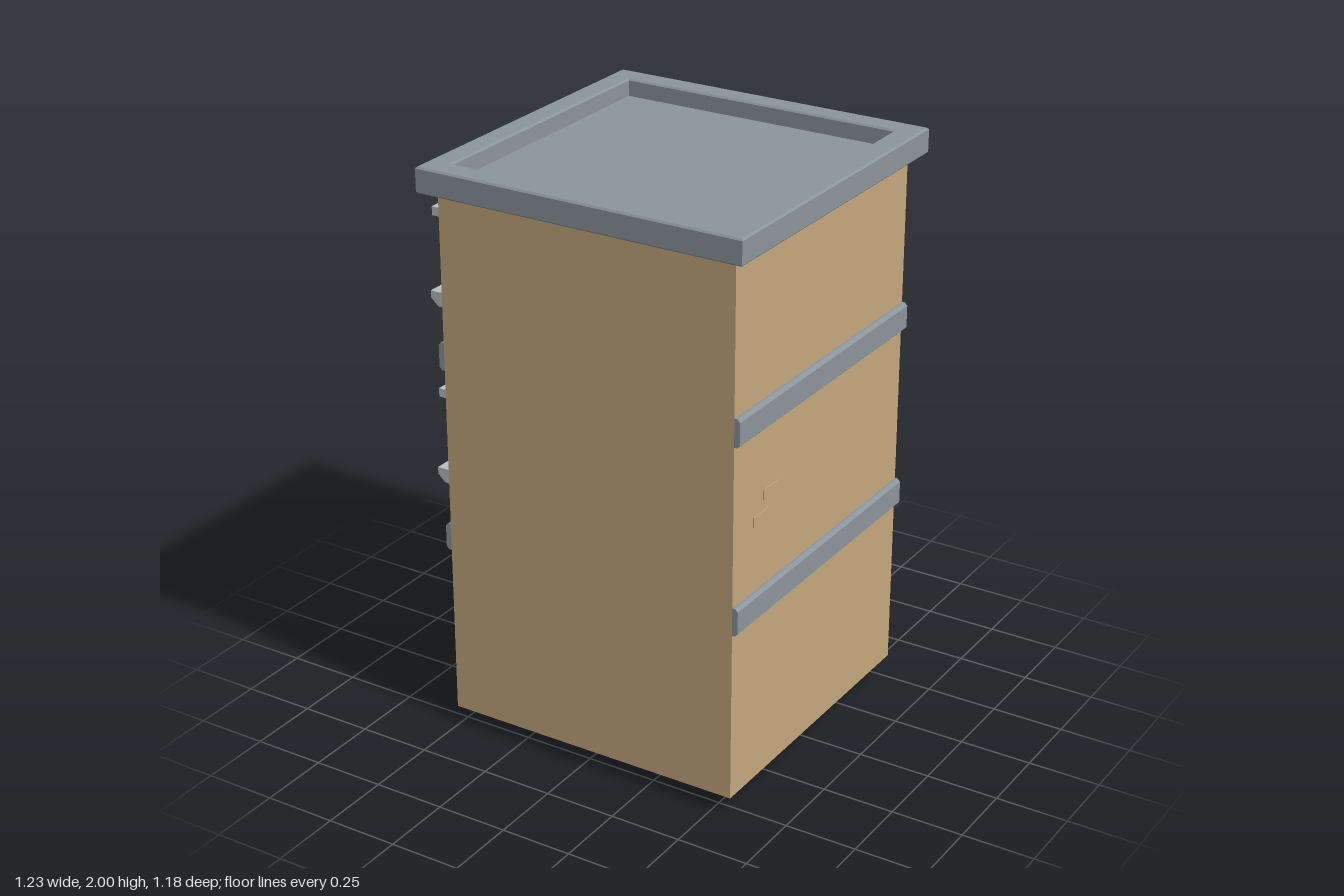
import * as THREE from 'three';

const mat = (name, color) => {
  const m = new THREE.MeshStandardMaterial({ color });
  m.name = name;
  return m;
};

export function createModel() {
  const model = new THREE.Group();
  model.name = 'cornerBuilding';
  const wall = mat('tan wall', 0xc4a77e);
  const slate = mat('slate trim', 0x8b959a);
  const stone = mat('pale stone', 0xb9bfc0);
  const dark = mat('dark glass', 0x4a453b);
  const brown = mat('dark brown', 0x6a6152);

  const WEST = -0.512, EAST = 0.565;

  const add = (parent, name, geometry, material) => {
    const mesh = new THREE.Mesh(geometry, material);
    mesh.name = name;
    parent.add(mesh);
    return mesh;
  };
  // Box given by its low and high limits on each axis
  const box = (parent, name, material, [x0, x1], [y0, y1], [z0, z1]) => {
    const m = add(parent, name, new THREE.BoxGeometry(x1 - x0, y1 - y0, z1 - z0), material);
    m.position.set((x0 + x1) / 2, (y0 + y1) / 2, (z0 + z1) / 2);
    return m;
  };
  // Profile in x and y, extruded along z
  const profile = (parent, name, material, points, z0, z1) => {
    const shape = new THREE.Shape(points.map(([x, y]) => new THREE.Vector2(x, y)));
    const m = add(parent, name, new THREE.ExtrudeGeometry(shape, { depth: z1 - z0, bevelEnabled: false }), material);
    m.position.z = z0;
    return m;
  };

  // Main block
  box(model, 'walls', wall, [WEST, EAST], [0.06, 1.93], [-0.54, 0.54]);

  // Roof: sunken deck inside a slightly bevelled parapet
  const rect = (C, x0, x1, z) => new C([[x0, -z], [x1, -z], [x1, z], [x0, z]].map(([a, b]) => new THREE.Vector2(a, b)));
  const b = 0.006;
  const ring = rect(THREE.Shape, -0.56 + b, 0.613 - b, 0.588 - b);
  ring.holes.push(rect(THREE.Path, -0.48 - b, 0.53 + b, 0.505 + b));
  const parapet = new THREE.ExtrudeGeometry(ring, {
    depth: 0.088 - 2 * b, bevelThickness: b, bevelSize: b, bevelSegments: 1,
  });
  parapet.rotateX(-Math.PI / 2).translate(0, 1.912 + b, 0);
  add(model, 'parapet', parapet, slate);
  box(model, 'roofDeck', slate, [-0.49, 0.54], [1.92, 1.94], [-0.515, 0.515]);

  // Chamfered floor bands on the two side walls
  for (const [y0, y1] of [[0.658, 0.755], [1.305, 1.402]]) {
    for (const [x, s, name] of [[EAST, 1, 'leftBand'], [WEST, -1, 'rightBand']]) {
      const out = x + s * 0.02;
      const points = [[x, y0], [x + s * 0.01, y0], [out, y0 + 0.01], [out, y1 - 0.01], [x + s * 0.01, y1], [x, y1]];
      profile(model, name, slate, points, -0.54, 0.54);
    }
  }

  // Window: sill, posts, lintel, pane and glazing bar
  const addWindow = (y, z) => {
    const g = new THREE.Group();
    g.name = 'window';
    g.position.set(0, y, z);
    model.add(g);
    profile(g, 'sill', stone, [[WEST, 0], [WEST, 0.05], [-0.62, 0.05], [-0.62, 0.026], [-0.592, 0]], -0.115, 0.115);
    for (const s of [-1, 1]) {
      const zs = [s * 0.055, s * 0.095].sort((a, c) => a - c);
      box(g, 'post', stone, [-0.545, WEST], [0.05, 0.31], zs);
    }
    box(g, 'lintel', stone, [-0.603, WEST], [0.31, 0.34], [-0.115, 0.115]);
    box(g, 'pane', dark, [-0.517, WEST], [0.05, 0.31], [-0.055, 0.055]);
    box(g, 'glazingBar', stone, [-0.525, -0.517], [0.21, 0.228], [-0.055, 0.055]);
  };
  for (const z of [-0.375, -0.02, 0.34]) addWindow(1.48, z);
  for (const z of [-0.36, -0.02, 0.34]) addWindow(0.85, z);
  addWindow(0.22, -0.02);

  // Door with step, frame and handle
  const door = new THREE.Group();
  door.name = 'door';
  door.position.z = -0.37;
  model.add(door);
  box(door, 'step', brown, [-0.62, -0.47], [0, 0.032], [-0.11, 0.11]);
  for (const s of [-1, 1]) {
    const zs = [s * 0.07, s * 0.098].sort((a, c) => a - c);
    box(door, 'doorPost', stone, [-0.545, -0.46], [0.032, 0.45], zs);
  }
  box(door, 'doorLintel', stone, [-0.603, WEST], [0.45, 0.48], [-0.11, 0.11]);
  box(door, 'doorPanel', brown, [-0.52, -0.475], [0.032, 0.45], [-0.07, 0.07]);
  box(door, 'doorInset', dark, [-0.523, -0.52], [0.25, 0.41], [-0.045, 0.045]);
  const handle = add(door, 'handle', new THREE.SphereGeometry(0.01, 10, 8), dark);
  handle.position.set(-0.54, 0.17, 0.045);
  box(door, 'handleStem', dark, [-0.54, -0.52], [0.167, 0.173], [0.042, 0.048]);

  // Pairs of exposed bricks
  for (const [x, y] of [[-0.04, 1.07], [-0.095, 1.0]]) {
    box(model, 'backBrick', wall, [x - 0.038, x + 0.038], [y - 0.017, y + 0.017], [-0.543, -0.54]);
  }
  for (const [z, y] of [[0.315, 1.07], [0.375, 1.0]]) {
    box(model, 'sideBrick', wall, [EAST, EAST + 0.003], [y - 0.017, y + 0.017], [z - 0.045, z + 0.045]);
  }
  return model;
}
